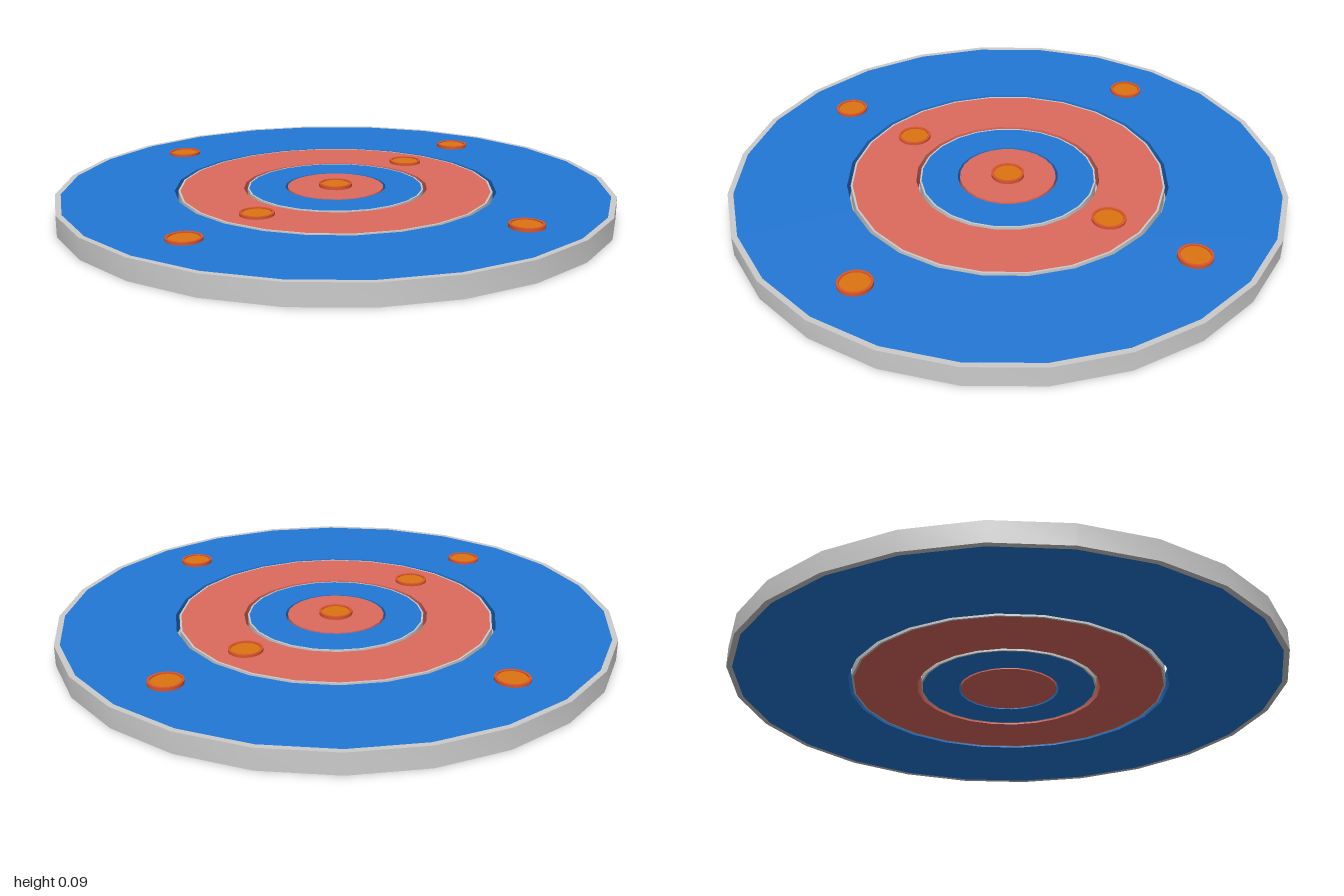
import * as THREE from 'three';
import { toCreasedNormals } from 'three/addons/utils/BufferGeometryUtils.js';

const material = (color) => new THREE.MeshStandardMaterial({ color });
const grey = material(0xcccccc);
const blue = material(0x2378d6);
const red = material(0xde6a5e);
const orange = material(0xdc7410);
const rust = material(0xd9552c);

const SIDES = 24;
const HEIGHT = 0.075;

// Flat ring (or disc when inner is 0) with a rectangular section
function ring(name, inner, outer, y0, y1, mat) {
  const corners = [[inner, y0], [outer, y0], [outer, y1], [inner, y1]];
  if (inner > 0) corners.push([inner, y0]);
  const profile = corners.map(([x, y]) => new THREE.Vector2(x, y));
  const geometry = toCreasedNormals(new THREE.LatheGeometry(profile, SIDES), 0.6);
  const mesh = new THREE.Mesh(geometry, mat);
  mesh.name = name;
  return mesh;
}

// Small raised peg: a rim around a slightly sunken cap
function peg(x, z, top) {
  const group = new THREE.Group();
  group.name = 'peg';
  group.add(
    ring('pegRim', 0.051, 0.06, HEIGHT - 0.01, top, rust),
    ring('pegCap', 0, 0.051, HEIGHT - 0.01, top - 0.004, orange)
  );
  group.position.set(x, 0, z);
  return group;
}

export function createModel() {
  const model = new THREE.Group();
  model.name = 'targetBoard';

  // Concentric zones separated by narrow open gaps, each with a grey edge band
  const zones = [
    ['outerZone', 0.58, 0.98, 1, blue],
    ['middleZone', 0.332, 0.56, 0.567, red],
    ['innerZone', 0.182, 0.313, 0.319, blue],
  ];
  for (const [name, inner, outer, edge, mat] of zones) {
    model.add(
      ring(name, inner, outer, 0, HEIGHT, mat),
      ring(name + 'Edge', outer, edge, 0, HEIGHT, grey)
    );
  }
  model.add(ring('bullseye', 0, 0.174, 0, HEIGHT, red));

  // Pegs along both axes
  const pegs = [
    [0, 0, 0.087], [0.78, 0, 0.087], [0.44, 0, 0.084],
    [-0.44, 0.015, 0.084], [-0.775, 0.015, 0.084],
    [0, 0.785, 0.087], [0, -0.78, 0.084],
  ];
  for (const [x, z, top] of pegs) model.add(peg(x, z, top));

  return model;
}
